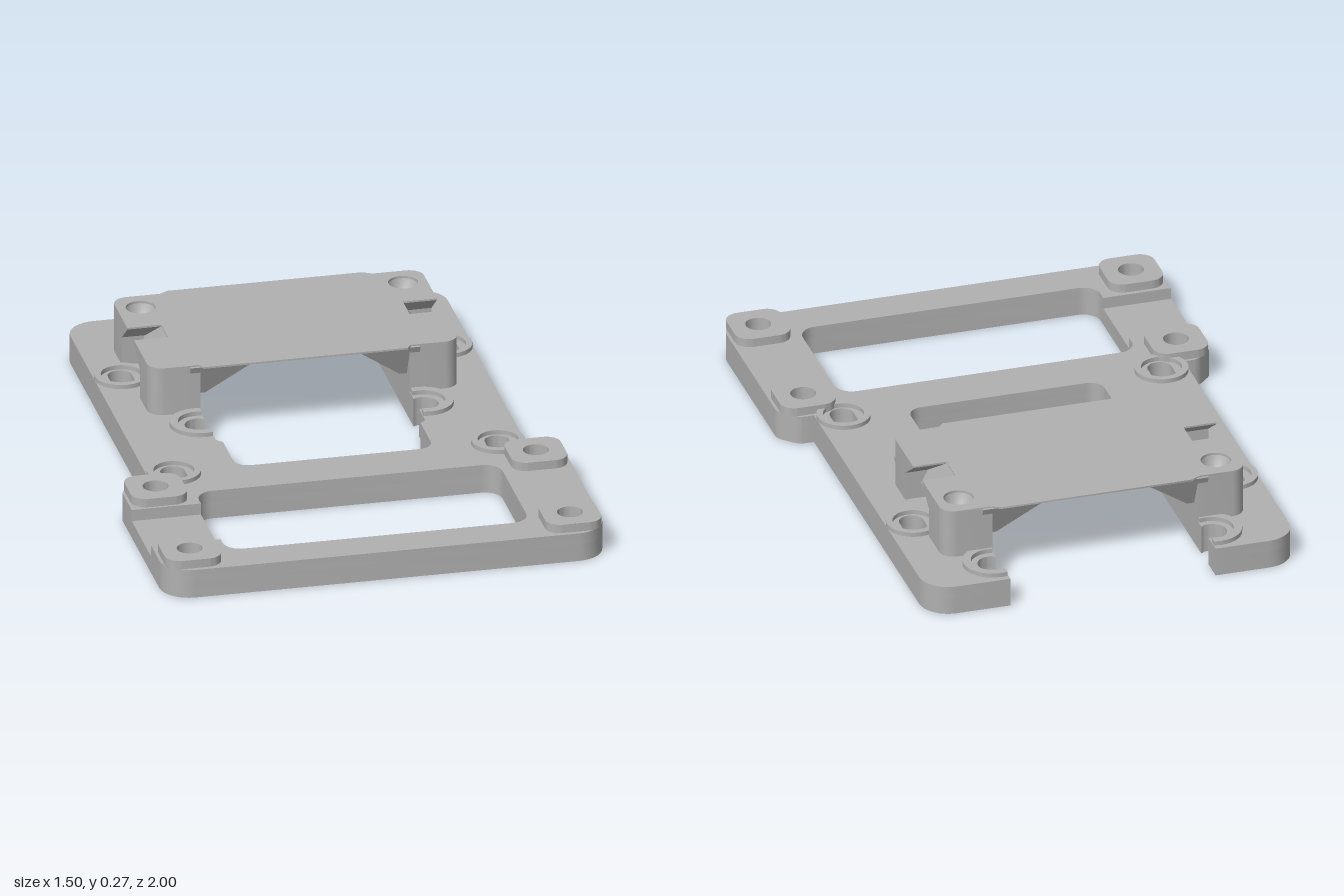
import * as THREE from 'three';
import { toCreasedNormals } from 'three/addons/utils/BufferGeometryUtils.js';
import { ConvexGeometry } from 'three/addons/geometries/ConvexGeometry.js';

const grey = new THREE.MeshStandardMaterial({ color: 0xb0b0b0, side: THREE.DoubleSide });
grey.name = 'grey plastic';

// Closed outline from [x, z, cornerRadius] points, always counter-clockwise
function outline(points, Type = THREE.Shape) {
  const n = points.length;
  const area = points.reduce((a, p, i) => {
    const q = points[(i + 1) % n];
    return a + p[0] * q[1] - q[0] * p[1];
  }, 0);
  const pts = area < 0 ? [...points].reverse() : points;
  const v = pts.map((p) => new THREE.Vector2(p[0], p[1]));
  const path = new Type();
  let last = null;
  pts.forEach((p, i) => {
    const c = v[i], r = p[2] || 0;
    const towards = (q) => q.clone().sub(c).setLength(r).add(c);
    const a = r ? towards(v[(i + n - 1) % n]) : c;
    const b = r ? towards(v[(i + 1) % n]) : c;
    if (!last) path.moveTo(a.x, a.y);
    else if (last.distanceTo(a) > 1e-5) path.lineTo(a.x, a.y);
    if (r) {
      const k = 0.5523;
      const c1 = a.clone().lerp(c, k), c2 = b.clone().lerp(c, k);
      path.bezierCurveTo(c1.x, c1.y, c2.x, c2.y, b.x, b.y);
    }
    last = b;
  });
  return path;
}

// Rounded rectangle by centre and half sizes
const rect = (x, z, hx, hz, r) => [
  [x - hx, z - hz, r], [x + hx, z - hz, r], [x + hx, z + hz, r], [x - hx, z + hz, r],
];
const circle = (x, z, r) => rect(x, z, r, r, r);
const mirrorList = (half) => [...half, ...[...half].reverse().map(([x, z, r]) => [-x, z, r])];

export function createModel() {
  const model = new THREE.Group();

  const add = (name, geometry) => {
    const mesh = new THREE.Mesh(toCreasedNormals(geometry, 0.6), grey);
    mesh.name = name;
    model.add(mesh);
  };
  const extrude = (name, shape, y0, y1) => {
    const g = new THREE.ExtrudeGeometry(shape, { depth: y1 - y0, bevelEnabled: false, curveSegments: 8 });
    g.rotateX(Math.PI / 2).translate(0, y1, 0);
    add(name, g);
  };
  const slab = (name, points, holes, y0, y1) => {
    const shape = outline(points);
    shape.holes = holes.map((h) => outline(h, THREE.Path));
    extrude(name, shape, y0, y1);
  };
  const hull = (name, pts) => add(name, new ConvexGeometry(pts.map((p) => new THREE.Vector3(...p))));

  // Base plate: right half outline, with screw notches along the open bay
  const notch = (z) => [[0.355, z + 0.04], [0.37, z + 0.05], [0.43, z + 0.05, 0.05],
    [0.43, z - 0.05, 0.05], [0.37, z - 0.05], [0.355, z - 0.04]];
  const inner = [[0.335, 0.23, 0.05], [0.335, 0.03], [0.355, 0.01], ...notch(-0.12), ...notch(-0.88), [0.355, -1]];
  const outer = [[0.64, -1, 0.1], [0.64, 0.28], [0.69, 0.28, 0.02], [0.75, 0.34, 0.02], [0.75, 1, 0.1]];
  const flip = (list) => [...list].reverse().map(([x, z, r]) => [-x, z, r]);
  const rightHalf = [...inner, ...outer];
  const leftHalf = flip(rightHalf);

  const holes = [];
  for (const s of [-1, 1]) {
    for (const z of [-0.54, 0.24]) holes.push(rect(s * 0.55, z, 0.041, 0.06, 0.041));
    for (const z of [0.385, 0.89]) holes.push(circle(s * 0.645, z, 0.043));
  }
  const frame = rect(0, 0.635, 0.515, 0.235, 0.06);
  slab('basePlate', [...rightHalf, ...leftHalf], [...holes, frame], 0, 0.06);

  // Upper layer of the plate, with a channel across one side rail
  const channel = [
    [-0.75, 0.78], [-0.515, 0.78], [-0.515, 0.87, 0.06], [0.515, 0.87, 0.06],
    [0.515, 0.4, 0.06], [-0.515, 0.4, 0.06], [-0.515, 0.49], [-0.75, 0.49],
  ];
  slab('basePlateTop', [...rightHalf, leftHalf[0], ...channel, ...leftHalf.slice(1)], holes, 0.06, 0.1);

  // Bridge deck: thin sheet with side notches and countersunk holes
  const deck = mirrorList([
    [0.33, -0.818], [0.36, -0.8], [0.525, -0.8, 0.05], [0.525, -0.56], [0.41, -0.56],
    [0.41, -0.46], [0.525, -0.46], [0.525, -0.22, 0.05], [0.36, -0.22], [0.345, -0.2],
  ]);
  slab('bridgeDeck', deck, [-1, 1].map((s) => circle(s * 0.445, -0.71, 0.05)), 0.264, 0.27);

  for (const s of [-1, 1]) {
    // Raised corner bosses
    for (const z of [0.385, 0.89])
      slab('cornerBoss', rect(s * 0.645, z, 0.095, 0.095, 0.05), [circle(s * 0.645, z, 0.043)], 0.1, 0.13);

    // Raised rims round the slots
    for (const z of [-0.54, 0.24])
      slab('slotRim', circle(s * 0.55, z, 0.09), [circle(s * 0.55, z, 0.068)], 0.1, 0.115);

    // Half rims round the open notches
    for (const z of [-0.88, -0.12]) {
      const mid = s > 0 ? 0 : Math.PI;
      const rim = new THREE.Shape();
      rim.absarc(s * 0.38, z, 0.1, mid - 1.8, mid + 1.8, false);
      rim.absarc(s * 0.38, z, 0.072, mid + 1.88, mid - 1.88, true);
      extrude('notchRim', rim, 0.1, 0.115);
    }

    // Bridge legs, rounded on the outer corners
    slab('frontLeg', [[s * 0.355, -0.22], [s * 0.525, -0.22, 0.05], [s * 0.525, -0.37], [s * 0.355, -0.37]],
      [], 0.1, 0.264);
    slab('backLeg', [[s * 0.355, -0.8], [s * 0.525, -0.8, 0.05], [s * 0.525, -0.64], [s * 0.355, -0.64]],
      [circle(s * 0.445, -0.71, 0.05)], 0.1, 0.264);
    const sink = new THREE.LatheGeometry(
      [[0, 0.2], [0.035, 0.225], [0.05, 0.262]].map(([x, y]) => new THREE.Vector2(x, y)), 24);
    sink.translate(s * 0.445, 0, -0.71);
    add('countersink', sink);

    // Sloped corners of the side arch
    for (const [z0, z1] of [[-0.37, -0.46], [-0.64, -0.56]])
      hull('archCorner', [0.385, 0.525].flatMap((x) =>
        [[s * x, 0.2, z0], [s * x, 0.264, z0], [s * x, 0.264, z1]]));

    // Leaning wall at the back of the arch
    hull('archWall', [-0.37, -0.64].flatMap((z) =>
      [[0.47, 0.155], [0.41, 0.266], [0.33, 0.15], [0.3, 0.264]].map(([x, y]) => [s * x, y, z])));

    // Sloped gusset under the deck
    hull('gusset', [1, -1].flatMap((d) =>
      [[0.18, 0.265, 0.3], [0.39, 0.265, 0.3], [0.2, 0.25, 0.275], [0.39, 0.25, 0.28],
        [0.33, 0.15, 0.25], [0.39, 0.15, 0.25]].map(([x, y, z]) => [s * x, y, -0.51 + d * z])));
  }
  return model;
}
